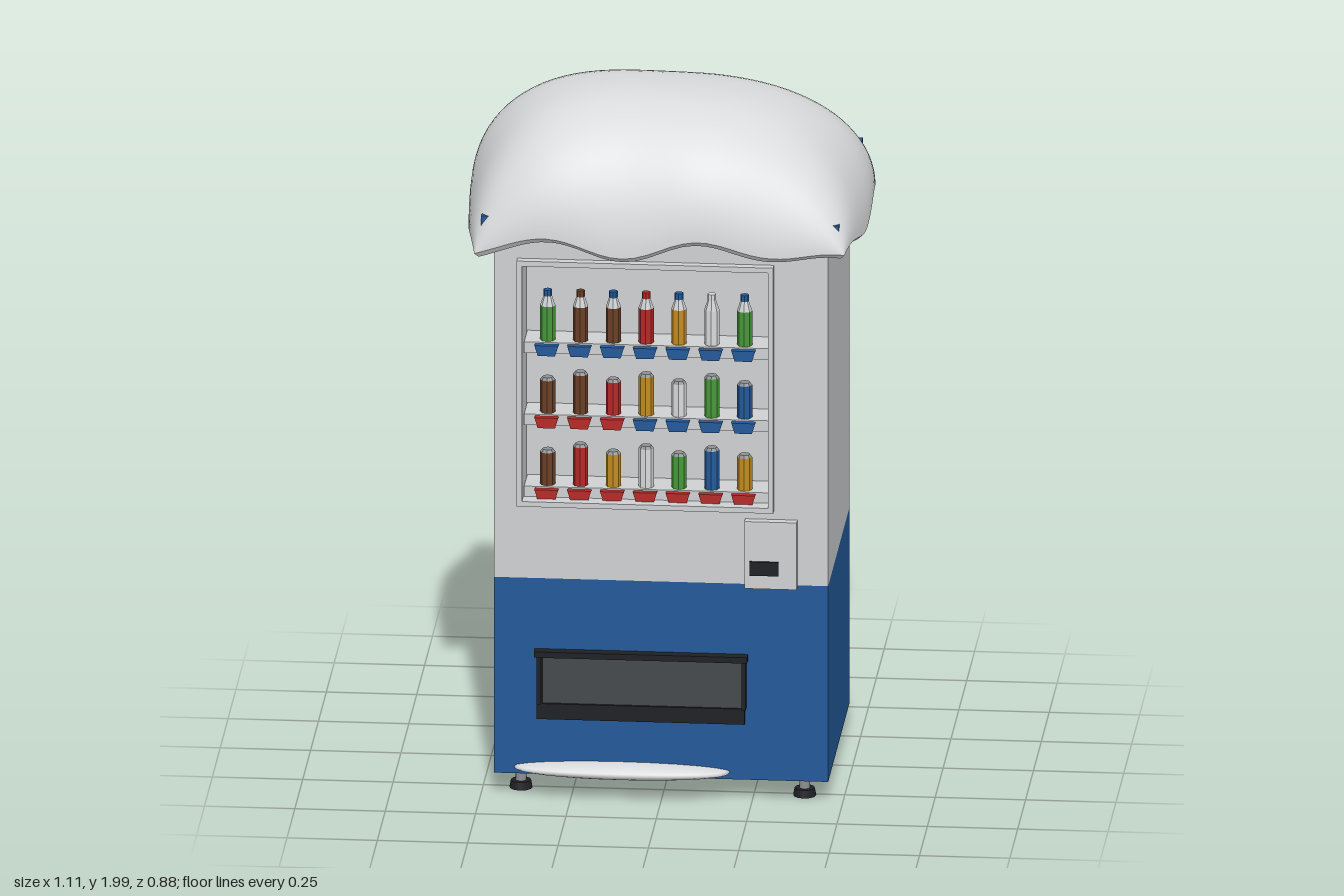
import * as THREE from 'three';

const mat = (name, color) => {
  const m = new THREE.MeshStandardMaterial({ color });
  m.name = name;
  return m;
};

export function createModel() {
  const model = new THREE.Group();
  model.name = 'vendingMachine';
  const cabinet = mat('cabinetGrey', 0xcfd1d3), snow = mat('snowWhite', 0xdadbdc);
  const blue = mat('blue', 0x235a9a), black = mat('black', 0x1e2024);
  const smoke = mat('smokedPanel', 0x44494d), steel = mat('steel', 0x8f9295);
  const red = mat('red', 0xb52a28), green = mat('green', 0x48993a);
  const amber = mat('amber', 0xc48c20), brown = mat('brown', 0x6b4028);

  const add = (name, geo, material, x = 0, y = 0, z = 0, parent = model) => {
    const mesh = new THREE.Mesh(geo, material);
    mesh.name = name;
    mesh.position.set(x, y, z);
    parent.add(mesh);
    return mesh;
  };
  // Box given by its limits on each axis
  const box = (name, material, x0, x1, y0, y1, z0, z1, parent) =>
    add(name, new THREE.BoxGeometry(x1 - x0, y1 - y0, z1 - z0), material,
      (x0 + x1) / 2, (y0 + y1) / 2, (z0 + z1) / 2, parent);
  const rect = (T, x0, x1, y0, y1) => {
    const s = new T();
    s.moveTo(x0, y0); s.lineTo(x1, y0); s.lineTo(x1, y1); s.lineTo(x0, y1); s.closePath();
    return s;
  };
  // Rectangular ring: outer and inner limits, extruded from z0 to z1
  const ring = (name, material, outer, inner, z0, z1) => {
    const s = rect(THREE.Shape, ...outer);
    s.holes.push(rect(THREE.Path, ...inner));
    return add(name, new THREE.ExtrudeGeometry(s, { depth: z1 - z0, bevelEnabled: false }),
      material, 0, 0, z0);
  };
  const facet = (geo) => {
    const g = geo.toNonIndexed();
    g.computeVertexNormals();
    return g;
  };

  // Cabinet with a display recess, blue base and overhanging roof
  const opening = [-0.385, 0.295, 0.86, 1.545];
  box('lowerCabinet', blue, -0.465, 0.46, 0.06, 0.63, -0.355, 0.32);
  box('upperCabinetBack', cabinet, -0.465, 0.46, 0.63, 1.66, -0.355, 0.2);
  ring('upperCabinetFront', cabinet, [-0.465, 0.46, 0.63, 1.66], opening, 0.2, 0.32);
  ring('displayFrame', cabinet, [-0.4, 0.31, 0.845, 1.56], opening, 0.32, 0.345);
  box('roofSlab', blue, -0.495, 0.495, 1.655, 1.7, -0.38, 0.378);

  // Drinks: bottles on the top shelf, cans on the two below
  const bottleBody = facet(new THREE.CylinderGeometry(0.021, 0.021, 0.1, 8));
  const bottleNeck = facet(new THREE.CylinderGeometry(0.011, 0.021, 0.03, 8));
  const bottleCap = facet(new THREE.CylinderGeometry(0.012, 0.012, 0.018, 8));
  const canBody = (h) => facet(new THREE.CylinderGeometry(0.021, 0.021, h, 8));
  const canTop = facet(new THREE.CylinderGeometry(0.015, 0.021, 0.008, 8));
  const tagShape = new THREE.Shape([[-0.024, -0.03], [0.024, -0.03], [0.033, 0], [-0.033, 0]]
    .map(([x, y]) => new THREE.Vector2(x, y)));
  const tagGeo = new THREE.ExtrudeGeometry(tagShape, { depth: 0.018, bevelEnabled: false });

  const rows = [
    { y: 1.31, bottles: true, drinks: [green, brown, brown, red, amber, snow, green],
      caps: [blue, brown, blue, red, blue, snow, blue], tags: Array(7).fill(blue) },
    { y: 1.1, drinks: [brown, brown, red, amber, snow, green, blue],
      tags: [red, red, red, blue, blue, blue, blue] },
    { y: 0.89, drinks: [brown, red, amber, snow, green, blue, amber], tags: Array(7).fill(red) },
  ];
  for (const row of rows) {
    const shelf = new THREE.Group();
    shelf.name = 'shelfRow';
    model.add(shelf);
    box('shelf', cabinet, -0.383, 0.293, row.y - 0.032, row.y, 0.2, 0.3, shelf);
    row.drinks.forEach((color, i) => {
      const x = -0.32 + i * 0.0908, z = 0.272;
      add('priceTag', tagGeo, row.tags[i], x, row.y - 0.004, 0.3, shelf);
      if (row.bottles) {
        add('bottleBody', bottleBody, color, x, row.y + 0.05, z, shelf);
        add('bottleNeck', bottleNeck, cabinet, x, row.y + 0.115, z, shelf);
        add('bottleCap', bottleCap, row.caps[i], x, row.y + 0.137, z, shelf);
      } else {
        const h = i % 2 ? 0.112 : 0.094;
        add('can', canBody(h), color, x, row.y + h / 2, z, shelf);
        add('canTop', canTop, steel, x, row.y + h + 0.004, z, shelf);
      }
    });
  }

  // Payment panel
  box('paymentPanel', cabinet, 0.23, 0.375, 0.625, 0.82, 0.32, 0.345);
  box('coinSlot', black, 0.245, 0.325, 0.665, 0.705, 0.345, 0.352);

  // Pickup hatch
  ring('hatchFrame', black, [-0.345, 0.23, 0.225, 0.41], [-0.33, 0.222, 0.27, 0.405], 0.32, 0.336);
  box('hatchFlap', smoke, -0.33, 0.222, 0.27, 0.405, 0.32, 0.328);
  box('hatchLip', black, -0.352, 0.238, 0.408, 0.425, 0.32, 0.35);
  for (const x of [-0.345, 0.222]) box('hatchSide', black, x, x + 0.012, 0.27, 0.41, 0.32, 0.345);

  // Levelling feet
  for (const x of [-0.395, 0.39]) for (const z of [0.26, -0.29]) {
    add('footPad', new THREE.CylinderGeometry(0.028, 0.032, 0.022, 12), black, x, 0.011, z);
    add('footStem', new THREE.CylinderGeometry(0.015, 0.015, 0.04, 8), steel, x, 0.042, z);
  }

  // Small snow drift below the hatch
  const drift = new THREE.SphereGeometry(1, 32, 12);
  const dp = drift.attributes.position;
  for (let i = 0; i < dp.count; i++) {
    const z = dp.getZ(i);
    dp.setXYZ(i, dp.getX(i) * 0.3, dp.getY(i) * 0.021, Math.sign(z) * Math.pow(Math.abs(z), 0.7) * 0.066);
  }
  drift.computeVertexNormals();
  add('snowDrift', drift, snow, -0.11, 0.081, 0.32);

  // Snow cap: a thin slab bent into a dome with a wavy, drooping rim
  const cap = new THREE.BoxGeometry(2, 2, 2, 48, 1, 48);
  const p = cap.attributes.position;
  const fall = (t, pow, q) => Math.pow(Math.max(0, 1 - Math.pow(Math.abs(t), pow)), q);
  for (let i = 0; i < p.count; i++) {
    const u = Math.sin(p.getX(i) * Math.PI / 2), v = Math.sin(p.getZ(i) * Math.PI / 2);
    const inner = p.getY(i) < 0;
    const x = u * (0.512 + 0.044 * (1 - v * v)), z = v * (0.405 + 0.035 * (1 - u * u));
    const w = (v * v + 1e-6) / (u * u + v * v + 2e-6);
    const wave = w * Math.cos((x - 0.11) * 14.3) + (1 - w) * Math.cos((z + 0.06) * 13.6);
    const rim = 1.632 + 0.028 * wave - 0.035 * Math.pow(u * v, 4);
    const dome = fall(u, 3, 0.5) * (v > 0 ? fall(v, 2.7, 0.55) : fall(v, 2, 0.65));
    const crown = 1.99 - 0.02 * u + 0.022 * v - 0.012 * u * u;
    const y = rim + (crown - rim) * dome;
    const s = inner ? 0.978 : 1;
    p.setXYZ(i, x * s, y - (inner ? 0.012 : 0), z * s);
  }
  cap.computeVertexNormals();
  add('snowCap', cap, snow);

  return model;
}
